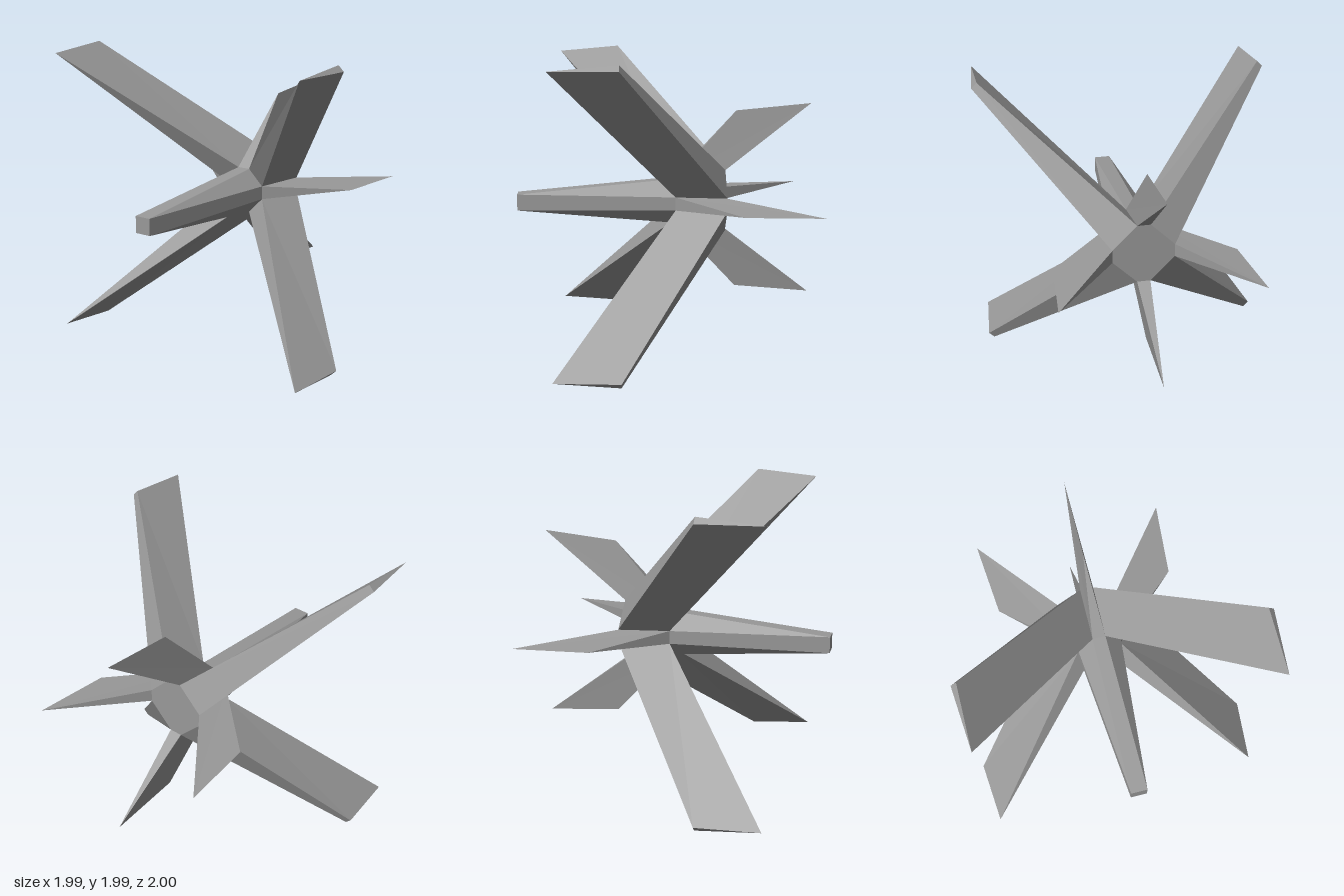
import * as THREE from 'three';

const material = new THREE.MeshStandardMaterial({ color: 0x999999, flatShading: true });

function meshFrom(name, triangles) {
  const geometry = new THREE.BufferGeometry();
  geometry.setAttribute('position', new THREE.Float32BufferAttribute(triangles.flat(2), 3));
  geometry.computeVertexNormals();
  const mesh = new THREE.Mesh(geometry, material);
  mesh.name = name;
  return mesh;
}

// Flat polygon as a triangle fan
const fan = (ring) => ring.slice(2).map((p, i) => [ring[0], ring[i + 1], p]);

// Walls between two rings, counter-clockwise seen from the tip.
// Repeated tip points give sharp edges; "flipped" lists walls split along the other diagonal.
function loft(base, tip, flipped = []) {
  const triangles = [];
  const same = (p, q) => p.every((v, k) => v === q[k]);
  base.forEach((a, i) => {
    const j = (i + 1) % base.length;
    const b = base[j], c = tip[j], d = tip[i];
    if (same(c, d)) triangles.push([a, b, c]);
    else if (flipped.includes(i)) triangles.push([a, b, d], [b, c, d]);
    else triangles.push([a, b, c], [a, c, d]);
  });
  return triangles;
}

// Four copies of a corner pair, turned about z
function turnedRing(points) {
  const ring = [];
  for (const [c, s] of [[1, 0], [0, 1], [-1, 0], [0, -1]]) {
    for (const [x, y, z] of points) ring.push([c * x - s * y, s * x + c * y, z]);
  }
  return ring;
}

export function createModel() {
  const model = new THREE.Group();
  model.name = 'starCraft';

  const w = 0.045;                 // half width of the fin roots
  const rF = 0.153, zF = -0.07;    // front hub ring
  const rB = 0.21, zB = -0.415;    // rear hub ring
  const frontRing = turnedRing([[rF, -w, zF], [rF, w, zF]]);
  const rearRing = turnedRing([[rB, -w, zB], [rB, w, zB]]);

  // Nose: octagonal root narrowing to a square end
  const n = 0.055;
  const noseEnd = turnedRing([[n, -n, 1], [n, n, 1]]);
  const square = [[n, -n, 1], [n, n, 1], [-n, n, 1], [-n, -n, 1]];
  model.add(meshFrom('nose', [...loft(frontRing, noseEnd), ...fan(square)]));

  // Octagonal plate closing the rear of the hub
  model.add(meshFrom('rearPlate', fan([...rearRing].reverse())));

  // Long diagonal wing, swept forward, with a triangular end
  const t = 0.957, u = 0.994;
  const wingRoot = [[w, rF, zF], [rF, w, zF], [rB, w, zB], [w, rB, zB]];
  const wingTip = [[t, t, 0.733], [t, t, 0.733], [u, t, 0.307], [t, u, 0.307]];
  const wing = [...loft(wingRoot, wingTip, [3]), ...fan(wingTip.slice(1))];

  // Short fin, swept back to a knife edge
  const finRoot = [[-w, rF, zF], [w, rF, zF], [w, rB, zB], [-w, rB, zB]];
  const finTip = [[0, 0.613, -0.49], [0, 0.613, -0.49], [0, 0.66, -1], [0, 0.66, -1]];
  const fin = loft(finRoot, finTip, [3]);

  for (let k = 0; k < 4; k++) {
    for (const part of [meshFrom(`wing${k + 1}`, wing), meshFrom(`fin${k + 1}`, fin)]) {
      part.rotation.z = (k * Math.PI) / 2;
      model.add(part);
    }
  }

  // Raise the axis so the lower wing tips stand on the ground
  model.children.forEach((part) => { part.position.y = u; });
  return model;
}
